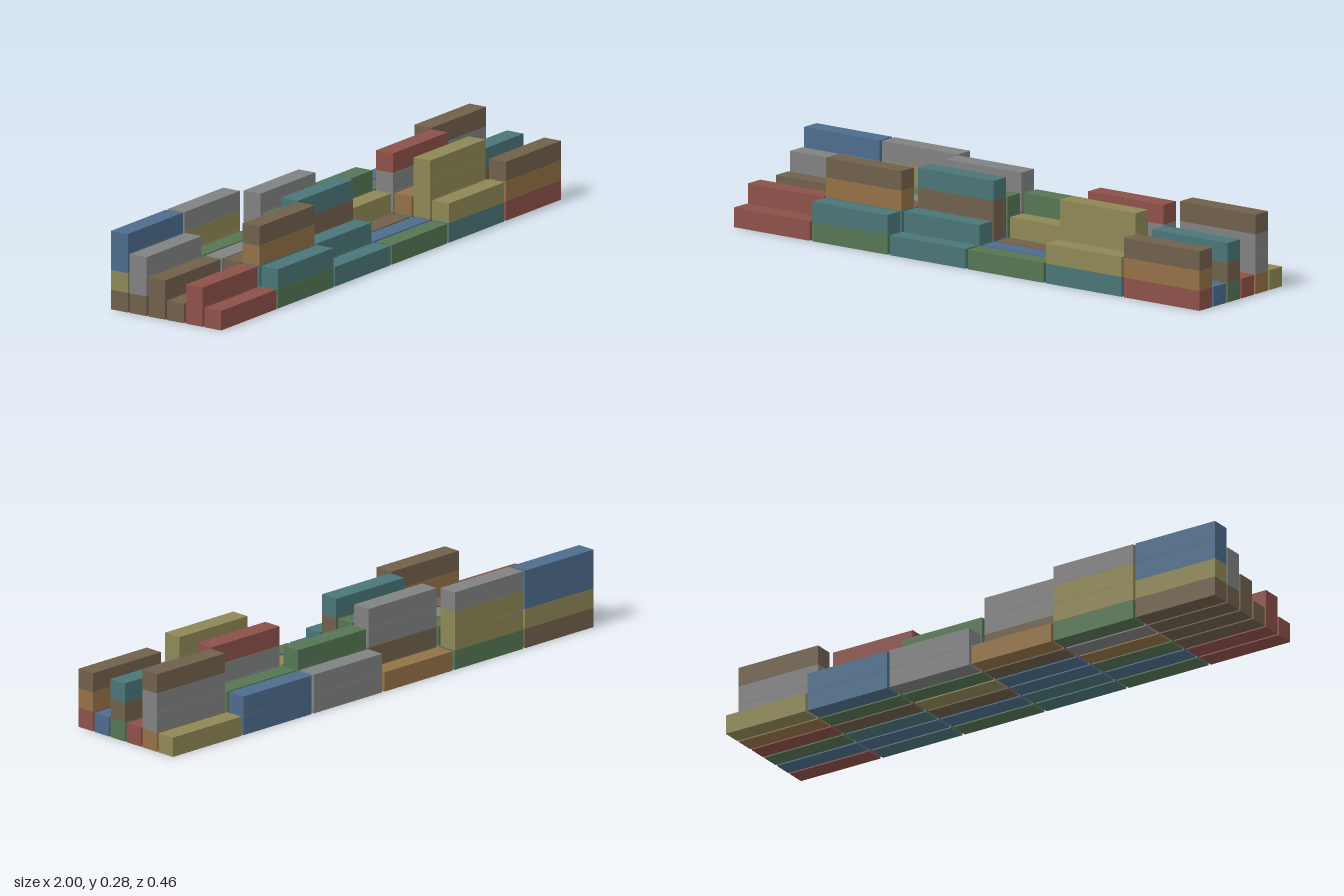
import * as THREE from 'three';

const LENGTH = 0.325, HEIGHT = 0.0688, WIDTH = 0.0695;
const PITCH_X = 0.335, PITCH_Y = 0.0693, PITCH_Z = 0.0776;

const COLORS = {
  r: 0x8c5049, // red
  t: 0x4a7577, // teal
  b: 0x4d6c8c, // blue
  g: 0x808181, // grey
  y: 0x8e8756, // olive
  n: 0x557553, // green
  w: 0x70604b, // brown
  o: 0x937146, // orange
};

// Stacks from the back row to the front row, each row from -x to +x,
// each stack listed from the ground up
const STACKS = [
  ['wybb', 'nyyg', 'o', 'gg', 'bb', 'y'],
  ['wgg', 'gn', 'wwgg', 'nnn', 'nn', 'oggw'],
  ['ww', 'og', 'bnn', 'yy', 'wggr', 'r'],
  ['w', 'nw', 'bwwt', 'w', 'to', 'nwt'],
  ['rr', 'btow', 'tt', 'b', 'byyy', 'b'],
  ['r', 'nt', 't', 'n', 'ty', 'row'],
];

export function createModel() {
  const model = new THREE.Group();
  model.name = 'containerYard';

  const box = new THREE.BoxGeometry(LENGTH, HEIGHT, WIDTH);
  const materials = {};
  for (const key in COLORS) {
    materials[key] = new THREE.MeshStandardMaterial({ color: COLORS[key] });
  }

  STACKS.forEach((row, r) => row.forEach((stack, c) => {
    const group = new THREE.Group();
    group.name = `stackRow${r + 1}Bay${c + 1}`;
    group.position.set((c - 2.5) * PITCH_X, 0, (r - 2.5) * PITCH_Z);
    [...stack].forEach((key, level) => {
      const container = new THREE.Mesh(box, materials[key]);
      container.name = `containerTier${level + 1}`;
      container.position.y = HEIGHT / 2 + level * PITCH_Y;
      group.add(container);
    });
    model.add(group);
  }));

  return model;
}
